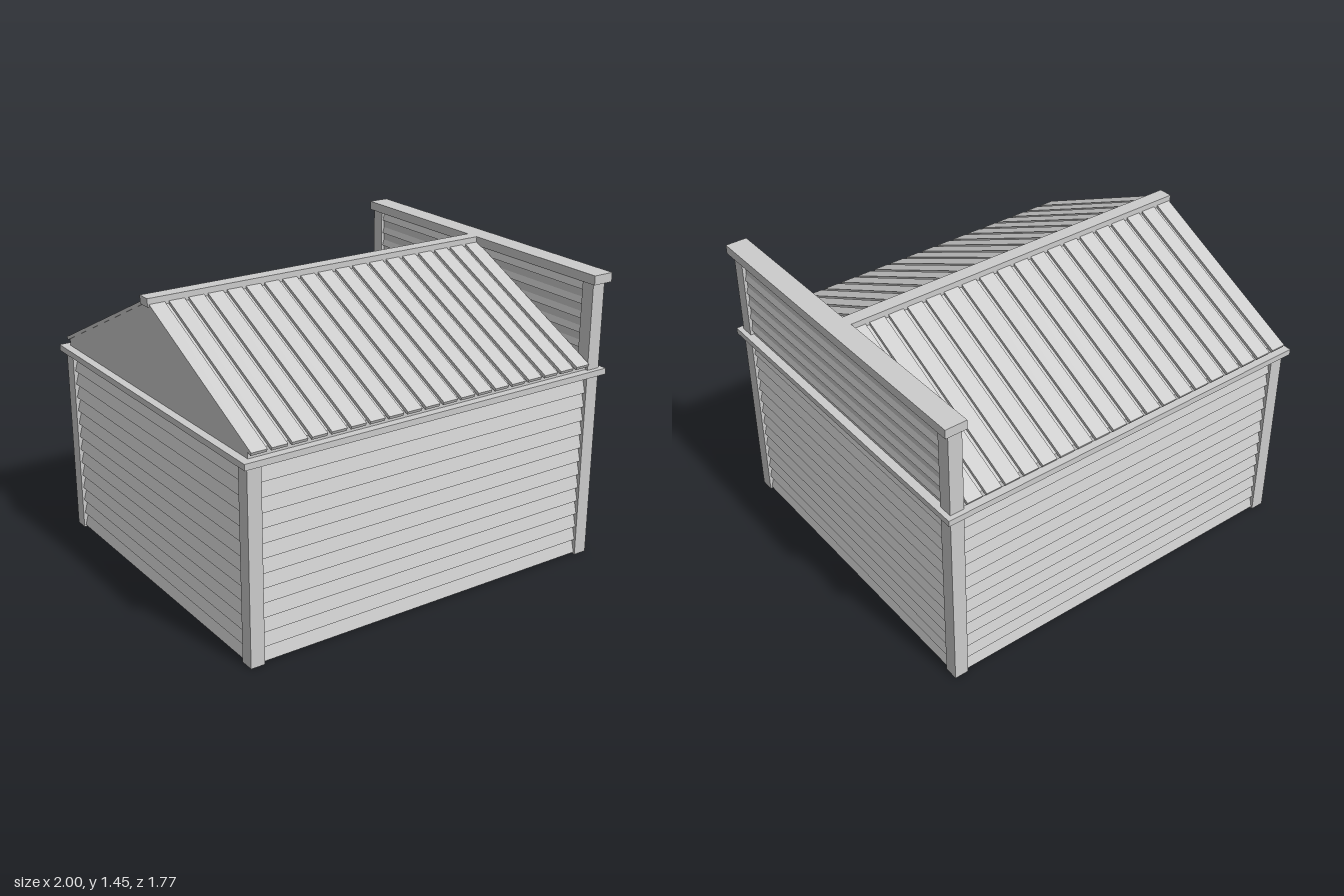
import * as THREE from 'three';

const material = new THREE.MeshStandardMaterial({ color: 0xcccccc, flatShading: true });

function add(parent, name, geometry, x = 0, y = 0, z = 0) {
  const mesh = new THREE.Mesh(geometry, material);
  mesh.name = name;
  mesh.position.set(x, y, z);
  parent.add(mesh);
  return mesh;
}

// Box given by its lower and upper bounds
function block(parent, name, x0, x1, y0, y1, z0, z1) {
  return add(parent, name, new THREE.BoxGeometry(x1 - x0, y1 - y0, z1 - z0),
    (x0 + x1) / 2, (y0 + y1) / 2, (z0 + z1) / 2);
}

// Profile in the (x, y) plane, extruded along z and centred on it
function extrude(points, length) {
  const shape = new THREE.Shape(points.map(([x, y]) => new THREE.Vector2(x, y)));
  const geometry = new THREE.ExtrudeGeometry(shape, { depth: length, bevelEnabled: false });
  return geometry.translate(0, 0, -length / 2);
}

// Clapboard wall facing +x: each board leans out at its lower edge
const PITCH = 0.0707, LIP = 0.02;
function siding(yStart, yEnd, length) {
  const points = [[-0.045, yStart]];
  for (let y = yStart; y < yEnd - 0.001; y += PITCH) {
    const top = Math.min(y + PITCH, yEnd);
    points.push([0, y], [-LIP * (top - y) / PITCH, top]);
  }
  points.push([-0.045, yEnd]);
  return extrude(points, length);
}

export function createModel() {
  const model = new THREE.Group();
  model.name = 'shed';

  // Floor
  block(model, 'floor', -0.95, 0.95, 0.005, 0.03, -0.84, 0.84);

  // Walls
  const wall = (name, geometry, x, z, turn) => {
    add(model, name, geometry, x, 0, z).rotation.y = turn;
  };
  wall('frontWall', siding(0.01, 0.96, 1.83), 0, 0.852, -Math.PI / 2);
  wall('backWall', siding(0.01, 0.96, 1.83), 0, -0.852, Math.PI / 2);
  wall('rightWall', siding(0.01, 0.96, 1.6), -0.967, 0, Math.PI);
  wall('leftWall', siding(0.01, 1.41, 1.6), 0.967, 0, 0);
  wall('parapetInnerWall', siding(0.01 + 13 * PITCH, 1.41, 1.6), 0.913, 0, Math.PI);

  // Corner posts, the left pair rising to carry the parapet
  for (const sx of [-1, 1]) {
    for (const sz of [-1, 1]) {
      const post = new THREE.BoxGeometry(0.07, sx > 0 ? 1.41 : 0.95, 0.07);
      add(model, 'cornerPost', post, sx * 0.94, sx > 0 ? 0.705 : 0.475, sz * 0.825);
    }
  }

  // Trim band and parapet cap
  block(model, 'trimBand', -1, 1, 0.945, 0.975, -0.885, 0.885);
  block(model, 'parapetCap', 0.892, 1, 1.4, 1.445, -0.88, 0.88);

  // Gable roof
  const roof = new THREE.Group();
  roof.name = 'roof';
  model.add(roof);
  const gable = extrude([[-0.845, 0.96], [0.845, 0.96], [0.845, 1.01], [0, 1.418], [-0.845, 1.01]], 1.875);
  add(roof, 'roofBody', gable, -0.0225, 0, 0).rotation.y = Math.PI / 2;

  // Raised roof boards, one bent strip across both slopes
  const strip = extrude([[0.869, 0.997], [0.876, 1.012], [0, 1.434], [-0.876, 1.012],
    [-0.869, 0.997], [0, 1.416]], 0.078);
  for (let i = 0; i < 19; i++) {
    add(roof, 'roofBoard', strip, -0.923 + i * 0.099, 0, 0).rotation.y = Math.PI / 2;
  }
  block(roof, 'ridgeCap', -0.97, 0.91, 1.405, 1.445, -0.035, 0.035);

  return model;
}
